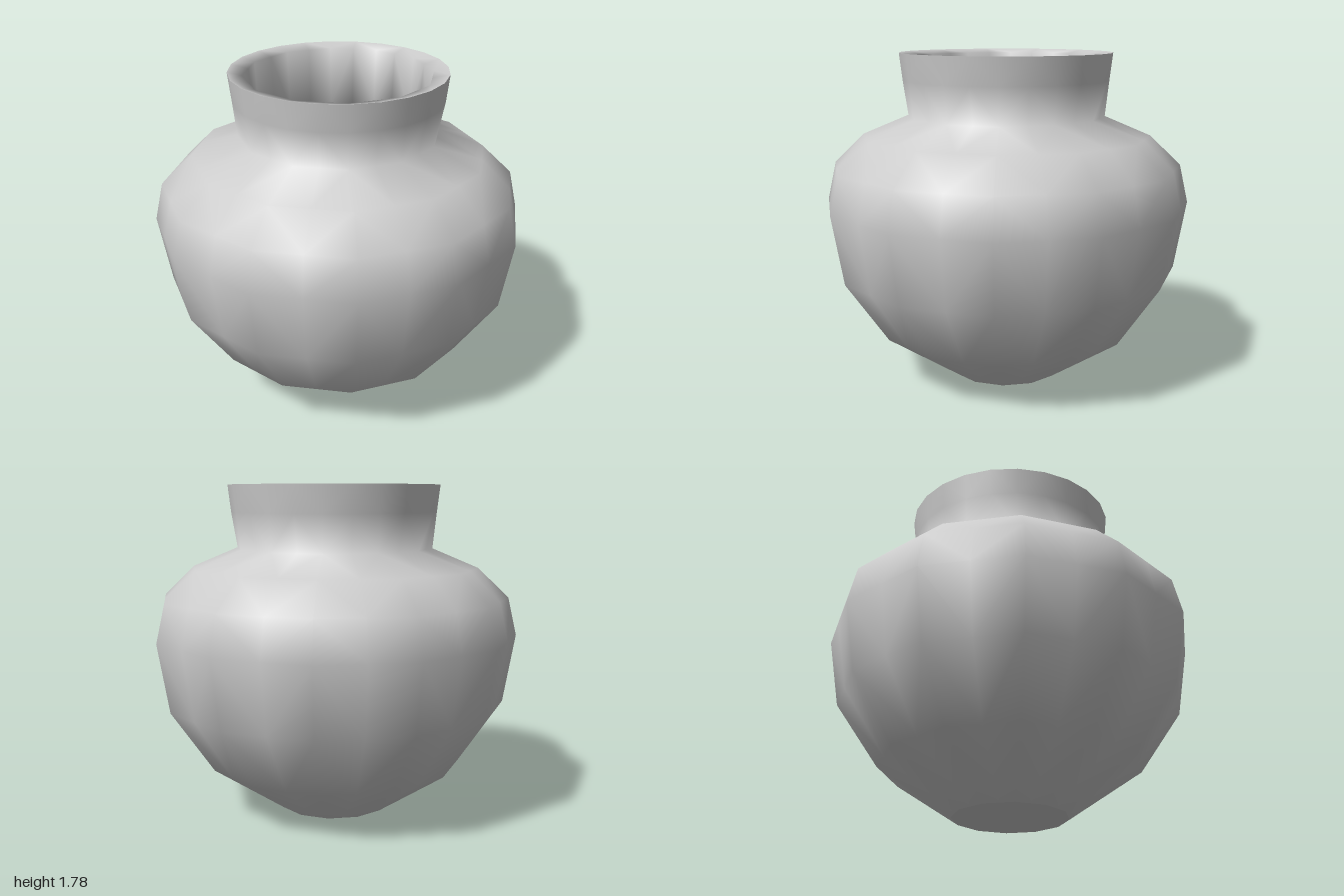
import * as THREE from 'three';

const SEG = 24;
const material = new THREE.MeshStandardMaterial({ color: 0xcccccc });

// Lofts rings of [radius, height, sides]; a 12-sided ring has its odd points on the edge midpoints.
function loft(name, rings) {
  const pos = [], index = [];
  for (const [r, y, sides] of rings) {
    for (let j = 0; j < SEG; j++) {
      const a = (j / SEG) * Math.PI * 2;
      const k = sides === 12 && j % 2 ? r * Math.cos(Math.PI / 12) : r;
      pos.push(k * Math.sin(a), y, k * Math.cos(a));
    }
  }
  for (let i = 0; i < rings.length - 1; i++) {
    const upperFine = rings[i + 1][2] === 24;
    for (let j = 0; j < SEG; j++) {
      const n = (j + 1) % SEG;
      const a = i * SEG + j, b = i * SEG + n, c = b + SEG, d = a + SEG;
      // the diagonal ends on the odd point of the finer ring, so each 12-gon edge fans to it
      if ((j % 2 === 0) === upperFine) index.push(a, b, c, a, c, d);
      else index.push(a, b, d, b, c, d);
    }
  }
  const geo = new THREE.BufferGeometry();
  geo.setAttribute('position', new THREE.Float32BufferAttribute(pos, 3));
  geo.setIndex(index);
  geo.computeVertexNormals();
  const mesh = new THREE.Mesh(geo, material);
  mesh.name = name;
  return mesh;
}

// Flat 12-sided disc facing up or down
function disc(name, radius, y, up) {
  const geo = new THREE.CircleGeometry(radius, 12);
  geo.rotateX(up ? -Math.PI / 2 : Math.PI / 2);
  const mesh = new THREE.Mesh(geo, material);
  mesh.position.y = y;
  mesh.name = name;
  return mesh;
}

export function createModel() {
  const pot = new THREE.Group();
  pot.name = 'pot';

  // Belly and shoulder in 12 sides, neck flaring into 24
  pot.add(loft('bodyAndNeck', [
    [0.31, 0, 12], [0.705, 0.265, 12], [0.937, 0.605, 12], [1, 0.975, 12],
    [0.953, 1.18, 12], [0.787, 1.34, 12], [0.537, 1.445, 12],
    [0.558, 1.64, 24], [0.575, 1.785, 24],
  ]));

  // Lip, inner neck and hollow belly
  pot.add(loft('lipAndInside', [
    [0.575, 1.785, 24], [0.5, 1.765, 12], [0.48, 1.44, 12],
    [0.74, 1.3, 12], [0.9, 1.16, 12], [0.945, 0.97, 12],
    [0.885, 0.63, 12], [0.64, 0.27, 12],
  ]));

  pot.add(disc('base', 0.31, 0, false));
  pot.add(disc('insideFloor', 0.64, 0.27, true));
  return pot;
}
